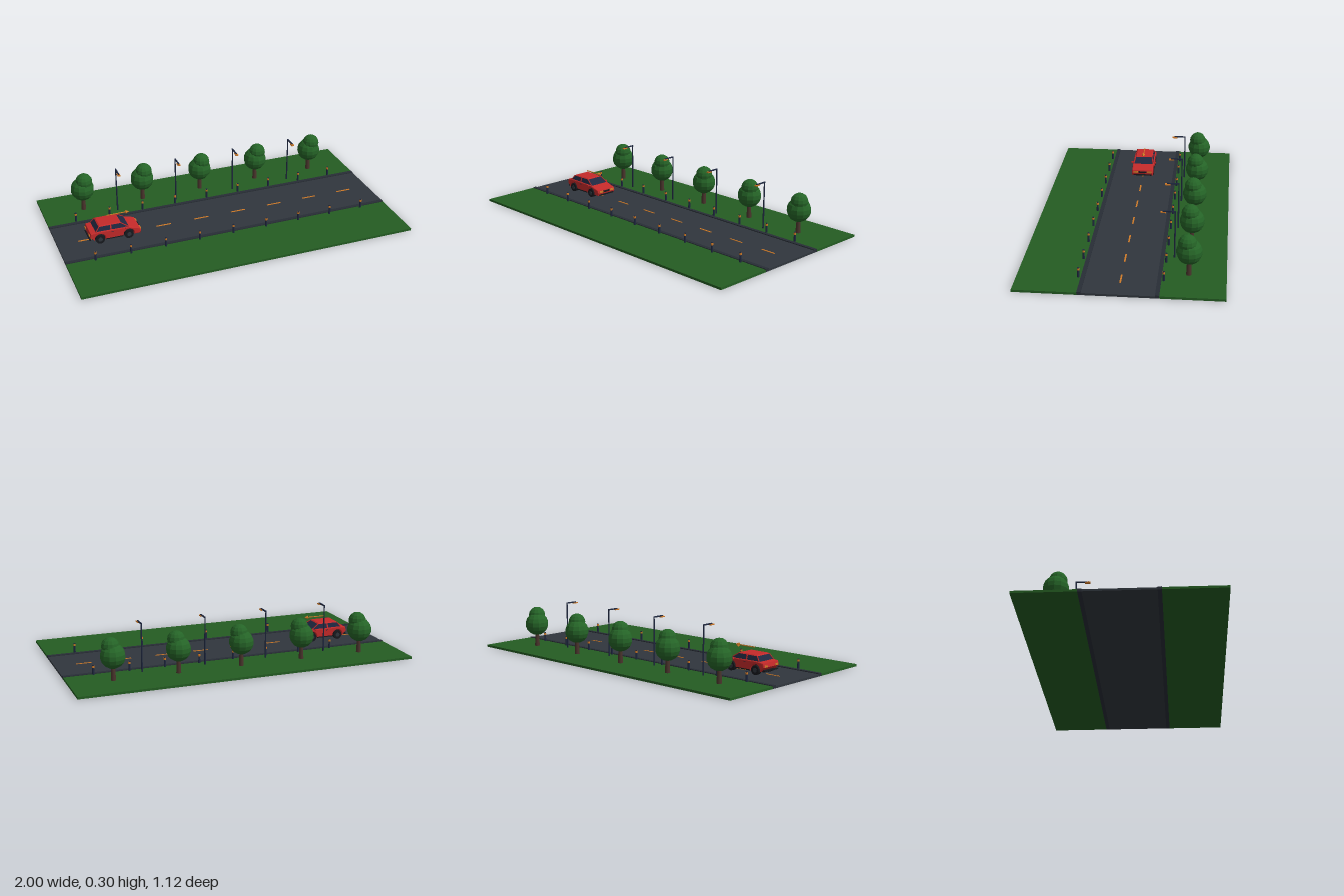
import * as THREE from 'three';

const mat = (name, color, flatShading = false) => {
  const m = new THREE.MeshStandardMaterial({ color, flatShading });
  m.name = name;
  return m;
};

export function createModel() {
  const M = {
    grass: mat('grass green', 0x245c22, true),
    leaf: mat('leaf green', 0x256427, true),
    road: mat('asphalt', 0x30363d),
    kerb: mat('kerb slate', 0x282d36),
    navy: mat('navy', 0x1f2840),
    bark: mat('bark brown', 0x4a342c),
    orange: mat('signal orange', 0xd07a28),
    red: mat('paint red', 0xc42a2a),
    tyre: mat('tyre black', 0x17191e),
  };
  const model = new THREE.Group();
  model.name = 'roadScene';

  const group = (name, parent, x = 0, y = 0, z = 0) => {
    const g = new THREE.Group();
    g.name = name;
    g.position.set(x, y, z);
    parent.add(g);
    return g;
  };
  const add = (parent, name, geo, material, x = 0, y = 0, z = 0) => {
    const m = new THREE.Mesh(geo, material);
    m.name = name;
    m.position.set(x, y, z);
    parent.add(m);
    return m;
  };
  const box = (parent, name, material, w, h, d, x, y, z) =>
    add(parent, name, new THREE.BoxGeometry(w, h, d), material, x, y, z);

  // Box with separate x and z extents at its bottom and top
  const taper = (parent, name, material, y0, y1, [a0, b0, w0], [a1, b1, w1]) => {
    const g = new THREE.BoxGeometry(1, 1, 1);
    const p = g.attributes.position;
    for (let i = 0; i < p.count; i++) {
      const top = p.getY(i) > 0, front = p.getX(i) > 0;
      p.setXYZ(i,
        top ? (front ? b1 : a1) : (front ? b0 : a0),
        top ? y1 : y0,
        Math.sign(p.getZ(i)) * (top ? w1 : w0));
    }
    g.computeVertexNormals();
    return add(parent, name, g, material);
  };

  // Ground, road and kerbs
  box(model, 'road', M.road, 2, 0.012, 0.386, 0, 0.006, 0);
  for (const s of [1, -1]) {
    box(model, 'lawn', M.grass, 2, 0.013, 0.345, 0, 0.0065, s * 0.3875);
    box(model, 'kerb', M.kerb, 2, 0.017, 0.022, 0, 0.0085, s * 0.204);
  }
  for (let i = 0; i < 8; i++)
    box(model, 'laneDash', M.orange, 0.09, 0.002, 0.009, -0.831 + i * 0.2375, 0.013, 0);

  // Marker posts with an orange band along both verges
  for (let i = 0; i < 9; i++) for (const s of [1, -1]) {
    const g = group('markerPost', model, -0.832 + i * 0.208, 0, s * 0.228);
    add(g, 'post', new THREE.CylinderGeometry(0.0055, 0.0065, 0.058, 8), M.navy, 0, 0.041, 0);
    add(g, 'reflector', new THREE.CylinderGeometry(0.0068, 0.0068, 0.012, 8), M.orange, 0, 0.06, 0);
  }

  // Trees with a large and a small crown
  for (let i = 0; i < 5; i++) {
    const g = group('tree', model, -0.752 + i * 0.376, 0, -0.357);
    add(g, 'trunk', new THREE.CylinderGeometry(0.011, 0.015, 0.09, 8), M.bark, 0, 0.055, 0);
    add(g, 'crown', new THREE.SphereGeometry(0.071, 12, 9), M.leaf, 0, 0.152, 0);
    add(g, 'topCrown', new THREE.SphereGeometry(0.051, 12, 8), M.leaf, 0.01, 0.205, 0.01);
  }

  // Street lamps reaching over the road
  for (let i = 0; i < 4; i++) {
    const g = group('streetLamp', model, -0.562 + i * 0.375, 0, -0.27);
    add(g, 'pole', new THREE.CylinderGeometry(0.0035, 0.005, 0.283, 8), M.navy, 0, 0.153, 0);
    box(g, 'arm', M.navy, 0.007, 0.007, 0.072, 0, 0.292, 0.033);
    box(g, 'lampHead', M.orange, 0.016, 0.006, 0.03, 0, 0.287, 0.065);
  }

  // Car, nose towards +x
  const car = group('car', model, -0.667);
  const wheelX = [-0.093, 0.079], wheelY = 0.04, archR = 0.032, a = 0.22;
  const side = new THREE.Shape();
  side.moveTo(-0.146, 0.033);
  for (const x of wheelX) side.absarc(x, wheelY, archR, Math.PI + a, -a, true);
  for (const [x, y] of [[0.148, 0.033], [0.153, 0.05], [0.146, 0.068], [0.074, 0.088],
    [-0.1, 0.09], [-0.147, 0.084], [-0.153, 0.06]]) side.lineTo(x, y);
  side.closePath();
  const bodyGeo = new THREE.ExtrudeGeometry(side, {
    depth: 0.126, bevelEnabled: true, bevelSize: 0.005, bevelOffset: -0.005,
    bevelThickness: 0.005, bevelSegments: 2, curveSegments: 12,
  });
  bodyGeo.translate(0, 0, -0.063);
  add(car, 'body', bodyGeo, M.red);
  box(car, 'underbody', M.tyre, 0.27, 0.04, 0.088, 0, 0.05, 0);

  // Glasshouse, roof and pillars
  taper(car, 'glasshouse', M.navy, 0.086, 0.116, [-0.118, 0.082, 0.063], [-0.094, 0.034, 0.053]);
  taper(car, 'roof', M.red, 0.116, 0.121, [-0.097, 0.037, 0.055], [-0.09, 0.03, 0.049]);
  taper(car, 'doorPillar', M.red, 0.086, 0.116, [-0.03, -0.022, 0.0645], [-0.03, -0.022, 0.0545]);
  for (const s of [1, -1]) {
    for (const [x0, x1] of [[0.082, 0.034], [-0.118, -0.094]]) {
      const path = new THREE.LineCurve3(
        new THREE.Vector3(x0, 0.086, s * 0.063), new THREE.Vector3(x1, 0.117, s * 0.053));
      add(car, 'cornerPillar', new THREE.TubeGeometry(path, 1, 0.003, 6), M.red);
    }
    // Side details
    box(car, 'mirror', M.red, 0.01, 0.009, 0.014, 0.06, 0.087, s * 0.073);
    box(car, 'sill', M.tyre, 0.104, 0.006, 0.004, -0.007, 0.036, s * 0.067);
    box(car, 'doorHandle', M.navy, 0.012, 0.003, 0.003, -0.02, 0.077, s * 0.0685);
    // Lights
    box(car, 'headlight', M.orange, 0.006, 0.011, 0.028, 0.151, 0.057, s * 0.043);
    box(car, 'tailLight', M.orange, 0.006, 0.01, 0.024, -0.151, 0.066, s * 0.045);
    // Wheels
    for (const x of wheelX) {
      const tyre = add(car, 'tyre', new THREE.CylinderGeometry(0.027, 0.027, 0.024, 20),
        M.tyre, x, wheelY, s * 0.058);
      tyre.rotation.x = Math.PI / 2;
      const hub = add(car, 'hub', new THREE.CylinderGeometry(0.013, 0.013, 0.004, 12),
        M.road, x, wheelY, s * 0.0695);
      hub.rotation.x = Math.PI / 2;
    }
  }
  box(car, 'grille', M.tyre, 0.006, 0.01, 0.05, 0.151, 0.056, 0);
  box(car, 'frontBumper', M.tyre, 0.008, 0.008, 0.118, 0.15, 0.038, 0);
  box(car, 'rearBumper', M.tyre, 0.008, 0.008, 0.118, -0.15, 0.04, 0);

  // Direction arrow floating over the car
  const arrow = group('directionArrow', model, -0.64, 0.15, 0);
  const shaft = add(arrow, 'arrowShaft', new THREE.CylinderGeometry(0.003, 0.003, 0.12, 8), M.orange);
  const tip = add(arrow, 'arrowTip', new THREE.ConeGeometry(0.011, 0.022, 12), M.orange, 0.065, 0, 0);
  shaft.rotation.z = tip.rotation.z = -Math.PI / 2;

  return model;
}
